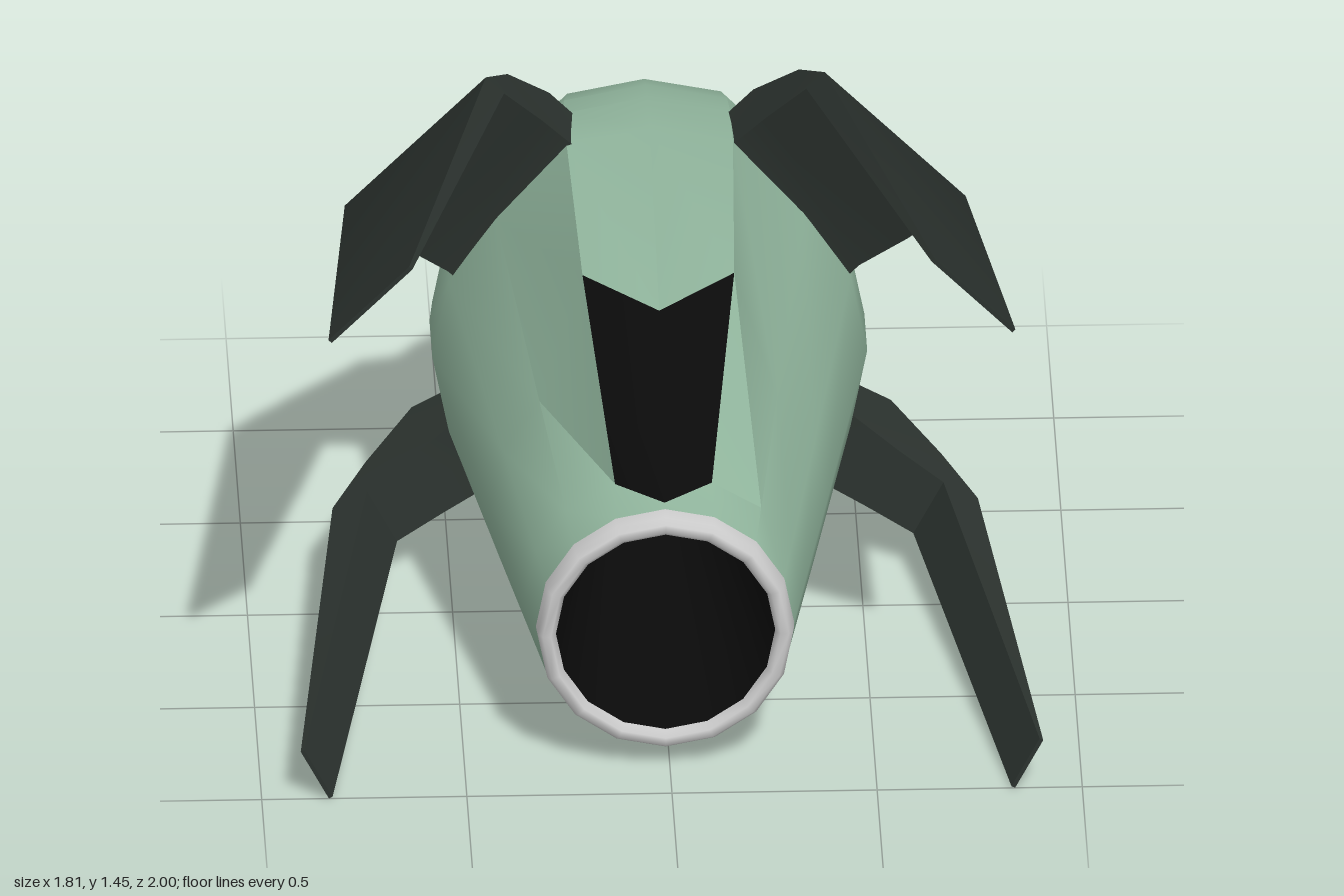
import * as THREE from 'three';
import { toCreasedNormals } from 'three/addons/utils/BufferGeometryUtils.js';

const N = 16;
const CX = -0.01;
const paint = (color, side = THREE.FrontSide) => new THREE.MeshStandardMaterial({ color, side });

// Skin a list of cross-sections (arrays of Vector3), with optional fan caps at either end
function loft(rings, { capStart = true, capEnd = true, crease = 0.6, closed = true, skip = () => false } = {}) {
  const tris = [];
  const n = rings[0].length;
  for (let i = 0; i < rings.length - 1; i++) {
    for (let k = 0; k < (closed ? n : n - 1); k++) {
      if (skip(i, k)) continue;
      const a = rings[i][k], b = rings[i][(k + 1) % n];
      const c = rings[i + 1][(k + 1) % n], d = rings[i + 1][k];
      tris.push([a, b, c], [a, c, d]);
    }
  }
  const cap = (ring, flip) => {
    const mid = ring.reduce((s, p) => s.add(p), new THREE.Vector3()).divideScalar(n);
    ring.forEach((p, k) => {
      const q = ring[(k + 1) % n];
      tris.push(flip ? [mid, q, p] : [mid, p, q]);
    });
  };
  if (capStart) cap(rings[0], true);
  if (capEnd) cap(rings[rings.length - 1], false);
  // Turn the faces outward if the enclosed volume comes out negative
  const centre = rings.flat().reduce((s, p) => s.add(p), new THREE.Vector3()).divideScalar(n * rings.length);
  let volume = 0;
  for (const [a, b, c] of tris) {
    const [u, v, w] = [a, b, c].map((p) => p.clone().sub(centre));
    volume += u.dot(v.cross(w));
  }
  if (volume < 0) tris.forEach((t) => t.reverse());
  const geometry = new THREE.BufferGeometry().setFromPoints(tris.flat());
  return toCreasedNormals(geometry, crease);
}

// Round section in the xy plane; vertex 0 is at the top
function ring(z, r, cy) {
  return Array.from({ length: N }, (_, k) => {
    const a = (k / N) * Math.PI * 2;
    return new THREE.Vector3(CX + r * Math.sin(a), cy + r * Math.cos(a), z);
  });
}

// Section whose top three vertices are raised to form the cockpit ridge
function ridgeRing(z, r, cy, top, shoulder, halfWidth = r * Math.sin(Math.PI / 8), topZ = z) {
  const pts = ring(z, r, cy);
  pts[0].set(CX, top, topZ);
  pts[1].set(CX + halfWidth, shoulder, z);
  pts[N - 1].set(CX - halfWidth, shoulder, z);
  return pts;
}

// Section of the rear hemisphere at a given angle behind its equator
function domeRing(deg, lift = 0) {
  const a = THREE.MathUtils.degToRad(deg);
  const r = 0.53 * Math.cos(a);
  const z = -0.47 - 0.53 * Math.sin(a);
  return ridgeRing(z, r, 0.56, 0.56 + r + lift, 0.56 + r * Math.cos(Math.PI / 8) + lift);
}

// Blade-like bent arm: stations are [outer d, outer z, inner d, inner z, half width],
// with d measured along dir from origin and the width along the perpendicular
function arm(origin, dir, stations, side) {
  const perp = [-dir[1], dir[0]];
  const at = (d, w, z) => new THREE.Vector3(
    side * (origin[0] + dir[0] * d + perp[0] * w),
    origin[1] + dir[1] * d + perp[1] * w, z);
  const rings = stations.map(([od, oz, id, iz, w]) =>
    [at(od, w, oz), at(od, -w, oz), at(id, -w, iz), at(id, w, iz)]);
  return loft(rings, { crease: 0.5 });
}

export function createModel() {
  const model = new THREE.Group();
  const add = (name, geometry, material) => {
    const mesh = new THREE.Mesh(geometry, material);
    mesh.name = name;
    model.add(mesh);
  };
  const green = paint(0x8fb39b);
  const dark = paint(0x2b322e);
  const grey = paint(0xcccccc);
  const black = paint(0x0a0a0a, THREE.DoubleSide);

  // Hull: rear dome shoulder, cockpit ridge and taper to the nose
  const windowTop = ridgeRing(0.33, 0.41, 0.448, 1.01, 1.08, 0.185, 0.39);
  const windowBottom = ridgeRing(0.69, 0.337, 0.381, 0.68, 0.69, 0.118, 0.775);
  const hull = [
    domeRing(45), domeRing(33.75, 0.045), domeRing(22.5, 0.058), domeRing(11.25, 0.062), domeRing(0, 0.07),
    ridgeRing(-0.27, 0.53, 0.56, 1.175, 1.135),
    windowTop, windowBottom, ring(0.8, 0.315, 0.36),
  ];
  const isWindow = (i, k) => i === 6 && (k === 0 || k === N - 1);
  add('hull', loft(hull, { capStart: false, capEnd: false, skip: isWindow }), green);

  // Cockpit window fills the gap left in the hull
  const strip = (r) => [r[N - 1], r[0], r[1]];
  add('cockpitWindow', loft([strip(windowTop), strip(windowBottom)],
    { capStart: false, capEnd: false, closed: false }), black);

  // Rear cap
  const capRings = [45, 56.25, 67.5, 78.75, 89].map((deg) => domeRing(deg));
  add('rearCap', loft(capRings, { capStart: false }), grey);

  // Nose ring and the dark tunnel inside it
  const profile = [[0.315, 0.8], [0.312, 0.84], [0.3, 0.86], [0.28, 0.86], [0.268, 0.845], [0.268, 0.79]]
    .map(([r, z]) => new THREE.Vector2(r, z));
  const noseRing = new THREE.LatheGeometry(profile, N).rotateX(Math.PI / 2).translate(CX, 0.36, 0);
  add('noseRing', noseRing, grey);
  add('noseTunnel', loft([ring(0.84, 0.27, 0.36), ring(0, 0.13, 0.44)], { capStart: false }), black);

  // Four forward-swept arms
  const s = Math.SQRT1_2;
  const upper = [
    [0.28, -0.46, 0.28, -0.28, 0.228],
    [0.58, -0.46, 0.48, -0.28, 0.228],
    [0.742, -0.32, 0.63, -0.225, 0.24],
    [0.827, -0.18, 0.764, -0.18, 0.243],
    [1.045, 1, 1.034, 1, 0.139],
  ];
  const lower = [
    [0.3, -0.46, 0.3, -0.28, 0.1],
    [0.61, -0.46, 0.487, -0.28, 0.098],
    [0.75, -0.32, 0.63, -0.225, 0.085],
    [0.85, -0.18, 0.755, -0.18, 0.078],
    [0.987, 1, 0.977, 1, 0.073],
  ];
  for (const [side, label] of [[1, 'left'], [-1, 'right']]) {
    add(label + 'UpperArm', arm([0, 0.61], [s, s], upper, side), dark);
    add(label + 'LowerArm', arm([0, 0.53], [0.882, -0.471], lower, side), dark);
  }
  return model;
}
